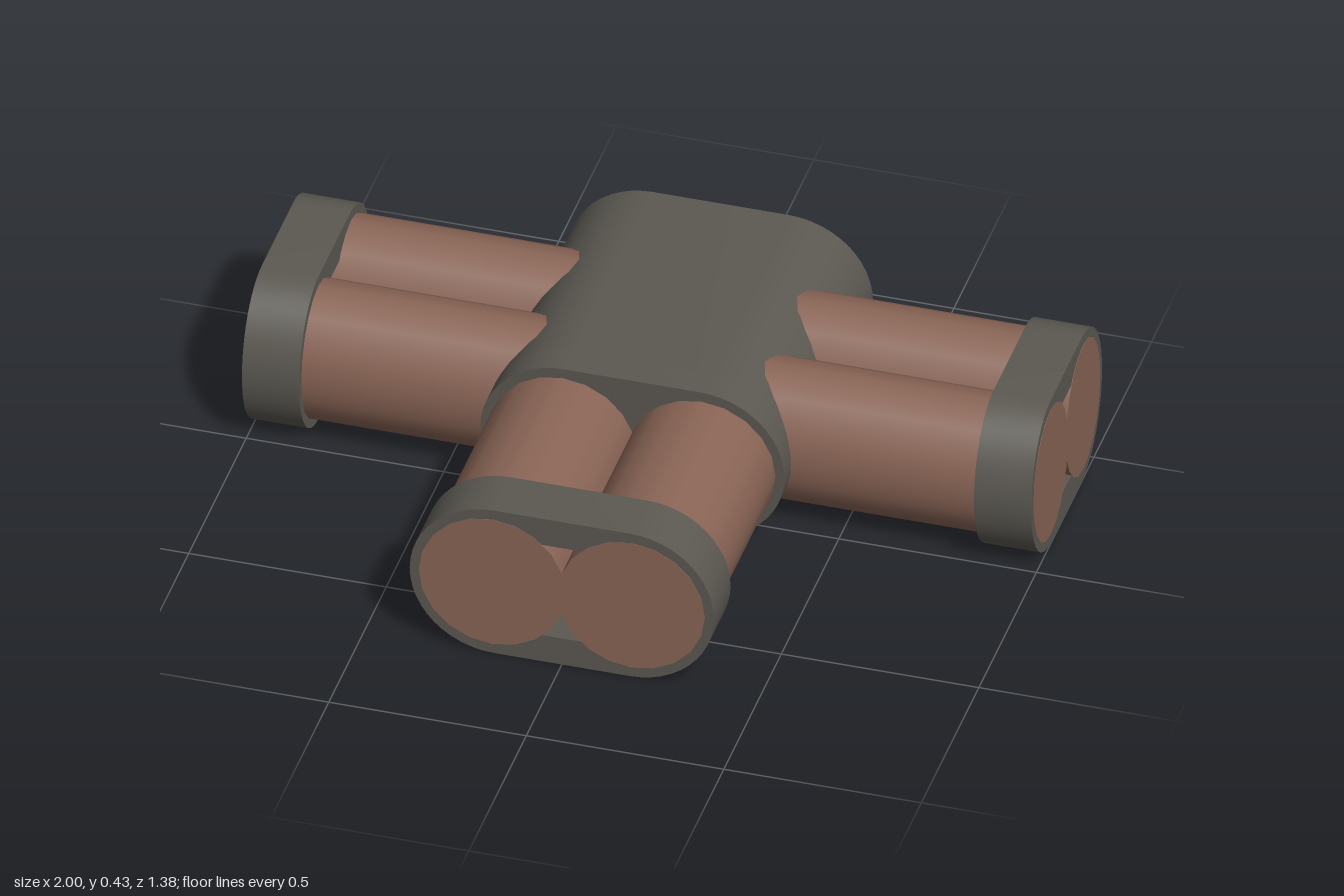
import * as THREE from 'three';
import { toCreasedNormals } from 'three/addons/utils/BufferGeometryUtils.js';

const CENTER_Y = 0.215;
const HALF = 0.172; // half distance between the rounded ends

// Outline with two straight sides and two round ends
function stadium(Type, r) {
  const s = new Type();
  s.moveTo(-HALF, -r);
  s.lineTo(HALF, -r);
  s.absarc(HALF, 0, r, -Math.PI / 2, Math.PI / 2, false);
  s.lineTo(-HALF, r);
  s.absarc(-HALF, 0, r, Math.PI / 2, Math.PI * 1.5, false);
  return s;
}

// Sleeve along z, hollow when a hole radius is given
function sleeve(z0, z1, holeRadius) {
  const shape = stadium(THREE.Shape, 0.213);
  if (holeRadius) shape.holes.push(stadium(THREE.Path, holeRadius));
  const geo = new THREE.ExtrudeGeometry(shape, { depth: z1 - z0, bevelEnabled: false, curveSegments: 12 });
  geo.translate(0, 0, z0);
  return toCreasedNormals(geo, 0.6);
}

export function createModel() {
  const grey = new THREE.MeshStandardMaterial({ color: 0x5c5952 });
  grey.name = 'dark grey';
  const brown = new THREE.MeshStandardMaterial({ color: 0x8a6556 });
  brown.name = 'clay brown';

  const model = new THREE.Group();
  model.name = 'pipeJunction';

  function add(parent, name, geo, material) {
    const mesh = new THREE.Mesh(geo, material);
    mesh.name = name;
    parent.add(mesh);
  }

  // Twin pipes with an end collar, built along +z
  function arm(name, start, end) {
    const group = new THREE.Group();
    group.name = name;
    for (const side of [-1, 1]) {
      const pipe = new THREE.CylinderGeometry(0.186, 0.186, end - start, 20);
      pipe.rotateX(Math.PI / 2);
      pipe.translate(side * 0.176, 0, (start + end) / 2);
      add(group, side < 0 ? 'rightPipe' : 'leftPipe', pipe, brown);
    }
    add(group, 'endCollar', sleeve(end - 0.146, end - 0.001, 0.135), grey);
    group.position.y = CENTER_Y;
    model.add(group);
    return group;
  }

  // Central body, open at the back and closed at the front
  const body = new THREE.Group();
  body.name = 'body';
  body.position.y = CENTER_Y;
  add(body, 'openSleeve', sleeve(-0.692, 0.0, 0.135), grey);
  add(body, 'frontWall', sleeve(0.0, 0.078), grey);
  model.add(body);

  arm('frontArm', 0.04, 0.692);

  // Side arms are narrower across
  for (const side of [-1, 1]) {
    const a = arm(side < 0 ? 'rightArm' : 'leftArm', 0.27, 1.0);
    a.scale.x = 0.8;
    a.rotation.y = side * Math.PI / 2;
    a.position.z = -0.267;
  }
  return model;
}
